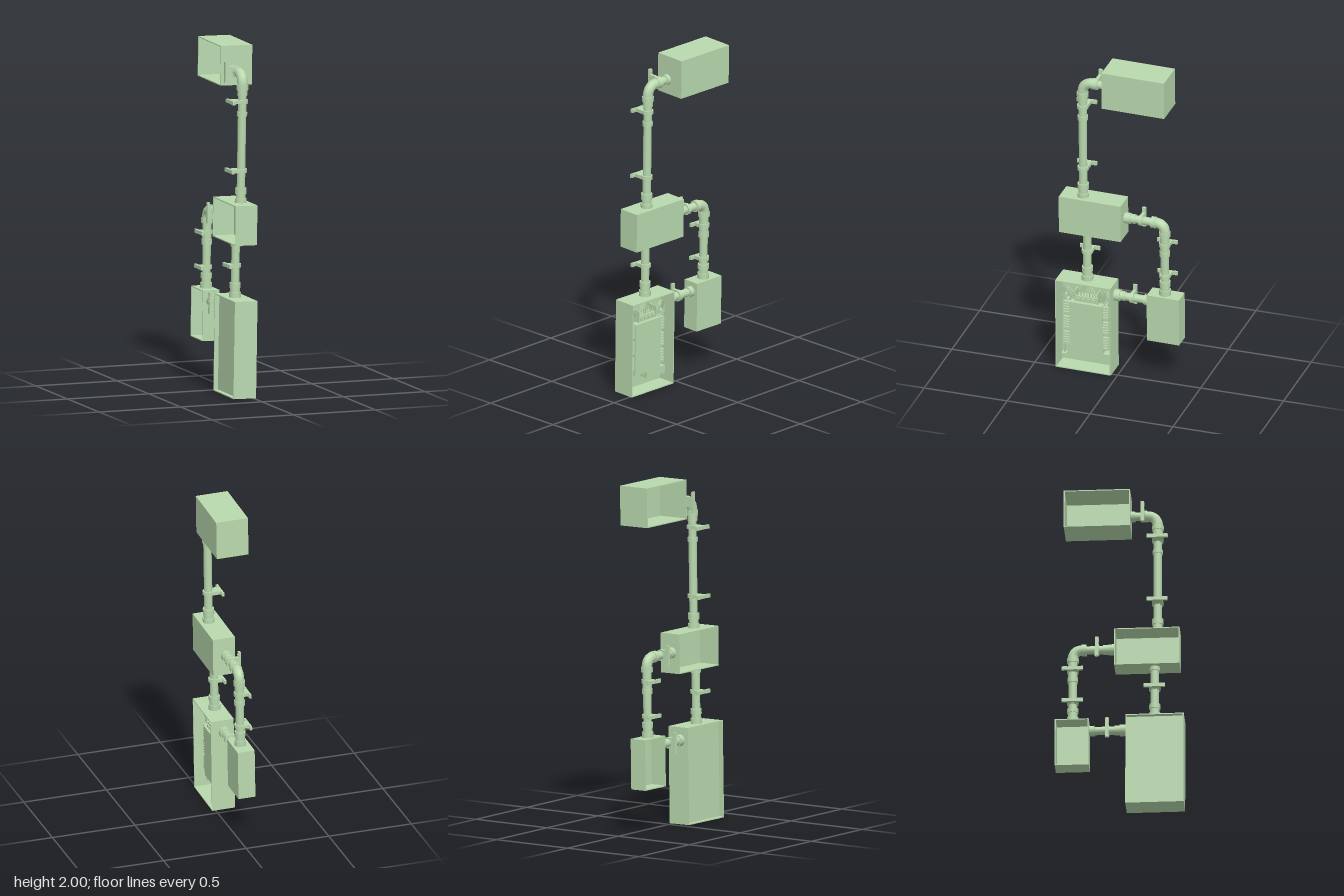
import * as THREE from 'three';

const mat = new THREE.MeshStandardMaterial({ color: 0xb9d9ae, side: THREE.DoubleSide });
const V = (x, y, z) => new THREE.Vector3(x, y, z);

function add(parent, name, geo) {
  const m = new THREE.Mesh(geo, mat);
  m.name = name;
  parent.add(m);
  return m;
}

// axis-aligned block given by its limits
function block(parent, name, x0, x1, y0, y1, z0, z1) {
  const m = add(parent, name, new THREE.BoxGeometry(x1 - x0, y1 - y0, z1 - z0));
  m.position.set((x0 + x1) / 2, (y0 + y1) / 2, (z0 + z1) / 2);
  return m;
}

// thin-walled cabinet: four walls plus one panel at panelX
function cabinet(parent, name, x0, x1, y0, y1, z0, z1, panelX) {
  const g = new THREE.Group(), t = 0.006;
  g.name = name;
  block(g, 'topWall', x0, x1, y1 - t, y1, z0, z1);
  block(g, 'bottomWall', x0, x1, y0, y0 + t, z0, z1);
  block(g, 'frontWall', x0, x1, y0 + t, y1 - t, z1 - t, z1);
  block(g, 'backWall', x0, x1, y0 + t, y1 - t, z0, z0 + t);
  block(g, 'panel', panelX - t, panelX, y0 + t, y1 - t, z0 + t, z1 - t);
  parent.add(g);
  return g;
}

// cylinder between two points
function rod(parent, name, a, b, r) {
  const m = add(parent, name, new THREE.CylinderGeometry(r, r, a.distanceTo(b), 16));
  m.position.copy(a).lerp(b, 0.5);
  m.quaternion.setFromUnitVectors(V(0, 1, 0), b.clone().sub(a).normalize());
  return m;
}

// wall clamp around a pipe: ring, arm to the wall and an ear on each side
function clamp(parent, p, horizontal) {
  const g = new THREE.Group();
  g.name = 'pipeClamp';
  const wall = -0.112 - p.x;
  add(g, 'ring', new THREE.CylinderGeometry(0.033, 0.033, 0.022, 16));
  block(g, 'arm', wall, 0, -0.01, 0.01, -0.031, 0.031);
  for (const s of [-1, 1]) {
    block(g, 'ear', wall, wall + 0.014, -0.011, 0.011, s * 0.045 - 0.016, s * 0.045 + 0.016);
    const bolt = add(g, 'bolt', new THREE.CylinderGeometry(0.006, 0.006, 0.006, 6));
    bolt.rotation.z = Math.PI / 2;
    bolt.position.set(wall + 0.017, 0, s * 0.045);
  }
  g.position.copy(p);
  if (horizontal) g.rotation.x = Math.PI / 2;
  parent.add(g);
}

// straight run with couplings [start, end, radius] and clamps, along y or z
function run(parent, name, axis, x, fixed, from, to, couplings, clamps) {
  const g = new THREE.Group();
  g.name = name;
  const at = s => axis === 'y' ? V(x, s, fixed) : V(x, fixed, s);
  rod(g, 'pipe', at(from), at(to), 0.024);
  for (const [a, b, r] of couplings) rod(g, 'coupling', at(a), at(b), r);
  for (const c of clamps) clamp(g, at(c), axis === 'z');
  parent.add(g);
}

// quarter bend with a collar at both ends
function elbow(parent, a, corner, b) {
  const g = new THREE.Group();
  g.name = 'elbow';
  add(g, 'bend', new THREE.TubeGeometry(new THREE.QuadraticBezierCurve3(a, corner, b), 10, 0.03, 12));
  for (const e of [a, b]) {
    const out = e.clone().sub(corner).normalize();
    rod(g, 'collar', e.clone().addScaledVector(out, -0.004), e.clone().addScaledVector(out, 0.024), 0.034);
  }
  parent.add(g);
}

function wire(parent, points, r = 0.004) {
  add(parent, 'wire', new THREE.TubeGeometry(new THREE.CatmullRomCurve3(points), 14, r, 6));
}

// fittings inside the large cabinet
function fittings(parent) {
  const g = new THREE.Group();
  g.name = 'cabinetFittings';
  block(g, 'mountingPlate', -0.085, -0.022, 0.105, 0.415, 0.1, 0.3);
  block(g, 'lowerPlate', -0.085, -0.03, 0.06, 0.105, 0.055, 0.2);
  // terminal columns on both sides of the plate
  for (const z of [0.085, 0.32]) {
    block(g, 'rail', -0.085, -0.045, 0.12, 0.415, z - 0.008, z + 0.008);
    for (let i = 0; i < 17; i++) {
      if (i % 6 === 5) continue;
      const y = 0.135 + i * 0.0165;
      block(g, 'terminal', -0.05, -0.028, y, y + 0.011, z - 0.018, z + 0.018);
    }
  }
  for (const [a, b] of [[0.045, 0.075], [0.33, 0.36]]) {
    block(g, 'lowerBracket', -0.085, -0.05, 0.05, 0.058, a, b);
    block(g, 'upperBracket', -0.085, -0.05, 0.43, 0.438, a, b);
  }
  block(g, 'sideRail', -0.085, -0.06, 0.055, 0.43, 0.343, 0.347);
  // connector strip with sockets
  block(g, 'connectorStrip', -0.085, -0.035, 0.42, 0.455, 0.135, 0.265);
  for (let i = 0; i < 4; i++) {
    const z = 0.155 + i * 0.03;
    block(g, 'socket', -0.035, -0.026, 0.43, 0.447, z - 0.009, z + 0.009);
  }
  for (const z of [0.132, 0.268]) block(g, 'stripEnd', -0.085, -0.03, 0.42, 0.49, z - 0.003, z + 0.003);
  // wires fanning out of the upper pipe
  for (let i = -3; i <= 3; i++) {
    wire(g, [V(-0.055, 0.562, 0.2 + i * 0.006), V(-0.05, 0.52, 0.2 + i * 0.008),
      V(-0.045, 0.485, 0.2 + i * 0.016), V(-0.045, 0.45, 0.2 + i * 0.018)]);
  }
  // looped wires to the terminal columns
  for (const s of [-1, 1]) for (let i = 0; i < 3; i++) {
    const k = i * 0.011;
    wire(g, [V(-0.05, 0.425, 0.2 + s * (0.078 + k)), V(-0.045, 0.465 - k * 0.3, 0.2 + s * (0.085 + k)),
      V(-0.042, 0.505 - k, 0.2 + s * 0.118), V(-0.045, 0.48 - k, 0.2 + s * (0.15 - k * 0.6)),
      V(-0.05, 0.41, 0.2 + s * (0.146 - k))]);
  }
  parent.add(g);
}

export function createModel() {
  const model = new THREE.Group();
  model.name = 'electricalBoxes';
  const body = new THREE.Group();
  body.name = 'assembly';
  model.add(body);

  // cabinets
  cabinet(body, 'mainCabinet', -0.117, 0.021, 0.002, 0.565, 0.035, 0.37, -0.085);
  fittings(body);
  cabinet(body, 'middleBox', -0.112, 0.021, 0.885, 1.115, -0.03, 0.345, 0.021);
  cabinet(body, 'topBox', -0.111, 0.08, 1.77, 2, -0.32, 0.06, 0.08);
  cabinet(body, 'smallBox', -0.112, -0.01, 0.255, 0.548, -0.37, -0.175, -0.01);

  // upper pipe to the top box
  const ux = -0.034, uz = 0.215;
  run(body, 'upperPipe', 'y', ux, uz, 1.11, 1.8,
    [[1.112, 1.14, 0.034], [1.14, 1.165, 0.028], [1.165, 1.2, 0.033], [1.615, 1.64, 0.03], [1.735, 1.78, 0.029]], [1.3, 1.7]);
  elbow(body, V(ux, 1.79, uz), V(ux, 1.858, uz), V(ux, 1.858, uz - 0.065));
  run(body, 'topBoxPipe', 'z', ux, 1.858, 0.058, 0.16, [[0.055, 0.085, 0.031]], [0.13]);

  // pipe between main cabinet and middle box
  run(body, 'middlePipe', 'y', -0.055, 0.2, 0.56, 0.89,
    [[0.565, 0.595, 0.034], [0.595, 0.62, 0.028], [0.62, 0.65, 0.032], [0.86, 0.886, 0.03]], [0.75]);

  // side pipe from middle box down to small box
  const sx = -0.058, sz = -0.27;
  run(body, 'sideBranchPipe', 'z', sx, 1.005, -0.22, -0.028, [[-0.065, -0.03, 0.032], [-0.095, -0.065, 0.028]], [-0.13]);
  elbow(body, V(sx, 1.005, -0.215), V(sx, 1.005, sz), V(sx, 0.95, sz));
  run(body, 'sidePipe', 'y', sx, sz, 0.545, 0.95,
    [[0.548, 0.58, 0.034], [0.58, 0.605, 0.028], [0.605, 0.635, 0.032], [0.8, 0.83, 0.031], [0.83, 0.93, 0.027]], [0.67, 0.872]);

  // pipe between main cabinet and small box
  run(body, 'lowerPipe', 'z', -0.06, 0.49, -0.178, 0.037,
    [[0, 0.036, 0.034], [-0.03, 0, 0.028], [-0.176, -0.145, 0.031]], [-0.072]);

  // slight lean of the whole assembly
  body.rotation.set(0, -0.02, -0.016);
  return model;
}
